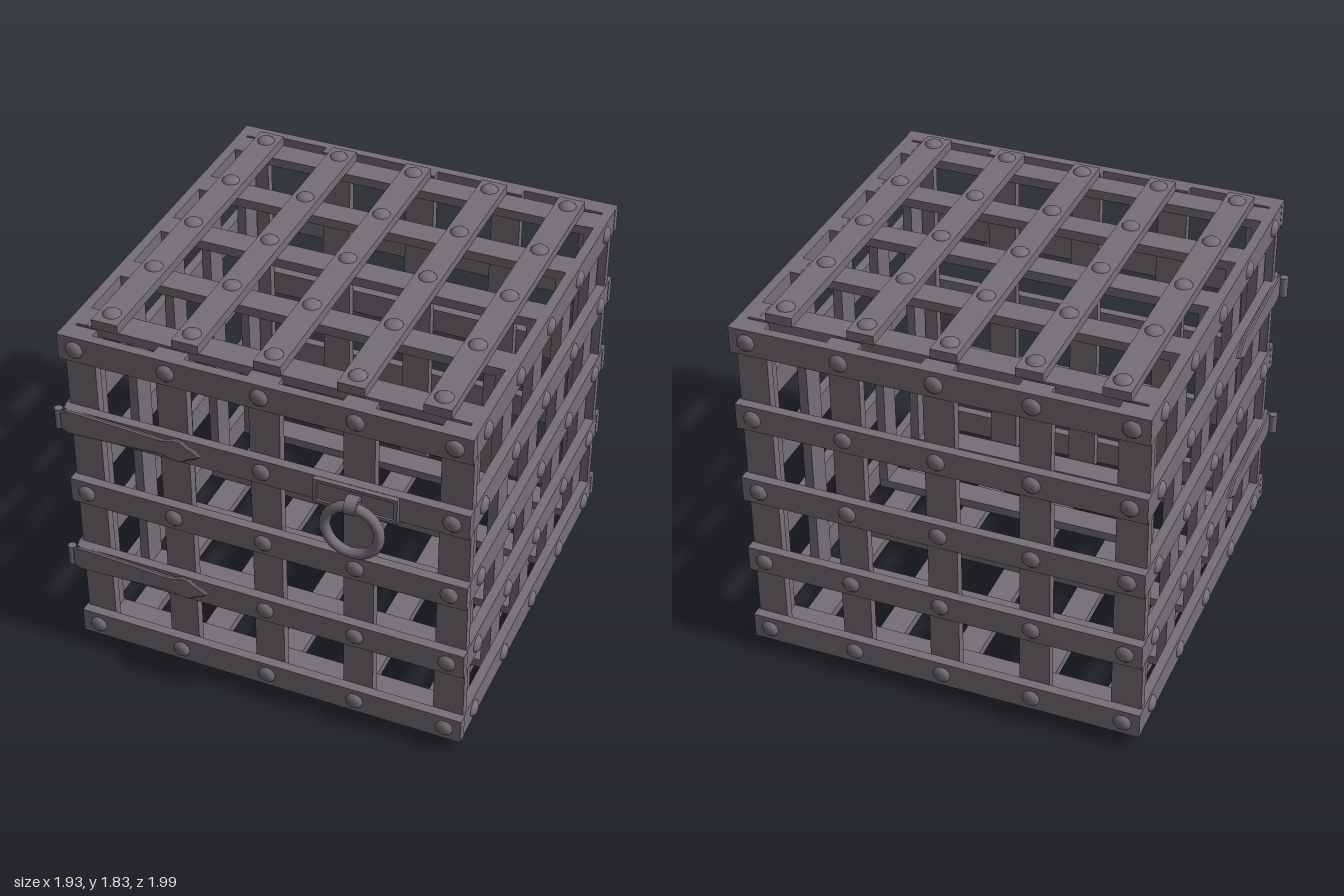
import * as THREE from 'three';

const T = 0.044;            // bar thickness
const CX = 0.012, CY = 0.92, CZ = -0.036; // cage centre

export function createModel() {
  const model = new THREE.Group();
  model.name = 'ironCage';
  const iron = new THREE.MeshStandardMaterial({ color: 0x766f76 });
  iron.name = 'dark iron';

  const add = (parent, name, geometry, x = 0, y = 0, z = 0) => {
    const mesh = new THREE.Mesh(geometry, iron);
    mesh.name = name;
    mesh.position.set(x, y, z);
    parent.add(mesh);
    return mesh;
  };

  // Domed rivet, its axis turned towards +z
  const rivetGeo = new THREE.LatheGeometry(
    [[0.041, -0.002], [0.041, 0.004], [0.029, 0.016], [0.015, 0.0195], [0, 0.02]].map(p => new THREE.Vector2(...p)), 12);
  rivetGeo.rotateX(Math.PI / 2);

  // Lattice wall: outer bars along local x, inner bars along local y, outer face at z = 0
  const steps = [-2, -1, 0, 1, 2];
  function wall(name, o) {
    const g = new THREE.Group();
    g.name = name;
    const outer = new THREE.BoxGeometry(o.outerLength, o.outerWidth, T);
    const inner = new THREE.BoxGeometry(o.innerWidth, o.innerLength, T);
    for (const i of steps) {
      add(g, 'outerBar', outer, 0, i * o.rowStep, -T / 2);
      add(g, 'innerBar', inner, i * o.columnStep, 0, -1.5 * T);
      for (const j of steps) {
        if (o.skip && o.skip(j, i)) continue;
        add(g, 'rivet', rivetGeo, j * o.columnStep, i * o.rowStep, 0);
      }
    }
    g.position.set(...o.position);
    g.rotation.set(...o.rotation);
    model.add(g);
  }

  const H = Math.PI / 2;
  const frontBack = { outerLength: 1.866, outerWidth: 0.125, innerLength: 1.685, innerWidth: 0.14, rowStep: 0.39, columnStep: 0.427 };
  const sides = { ...frontBack, outerLength: 1.889, innerWidth: 0.125, columnStep: 0.39 };
  const lids = { outerLength: 1.7, outerWidth: 0.122, innerLength: 1.78, innerWidth: 0.125, rowStep: 0.374, columnStep: 0.389 };

  const hingeRow = i => Math.abs(i) === 1;
  wall('frontWall', { ...frontBack, position: [CX, CY, 0.909], rotation: [0, 0, 0],
    skip: (j, i) => (hingeRow(i) && j < 0) || (i === 1 && j === 1) });
  wall('backWall', { ...frontBack, position: [CX, CY, -0.98], rotation: [0, Math.PI, 0] });
  wall('leftWall', { ...sides, position: [0.943, CY, CZ], rotation: [0, H, 0] });
  wall('rightWall', { ...sides, position: [-0.92, CY, CZ], rotation: [0, -H, 0],
    skip: (j, i) => hingeRow(i) && j > 0 });
  wall('topWall', { ...lids, position: [0.006, 1.805, CZ], rotation: [-H, 0, H] });
  wall('bottomWall', { ...lids, position: [0.006, 0.02, CZ], rotation: [H, 0, H] });

  // Hinge straps with a spear-shaped tip
  const half = [[0, 0.04], [0.03, 0.057], [0.1, 0.056], [0.3, 0.046], [0.46, 0.036], [0.5, 0.038],
    [0.54, 0.052], [0.575, 0.05], [0.605, 0.028], [0.63, 0.018]];
  const outline = [...half, [0.66, 0], ...half.slice().reverse().map(([x, y]) => [x, -y])];
  const strapGeo = new THREE.ExtrudeGeometry(new THREE.Shape(outline.map(p => new THREE.Vector2(...p))),
    { depth: 0.008, bevelEnabled: true, bevelThickness: 0.006, bevelSize: 0.006, bevelSegments: 1 });
  const pinGeo = new THREE.CylinderGeometry(0.02, 0.02, 0.1, 12);
  for (const i of [-1, 1]) {
    const y = CY + i * 0.39;
    add(model, 'frontHingeStrap', strapGeo, -0.932, y, 0.909);
    add(model, 'sideHingeStrap', strapGeo, -0.92, y, 0.9).rotation.set(0, -H, Math.PI);
    add(model, 'hingePin', pinGeo, -0.95, y, 0.902);
  }

  // Handle: framed plate, hook and pull ring
  const handle = new THREE.Group();
  handle.name = 'handle';
  handle.position.set(0.446, 1.308, 0.909);
  model.add(handle);
  add(handle, 'handlePlate', new THREE.BoxGeometry(0.37, 0.118, 0.012), 0, 0, 0.006);
  for (const s of [-1, 1]) {
    add(handle, 'plateRim', new THREE.BoxGeometry(0.378, 0.016, 0.022), 0, s * 0.055, 0.011);
    add(handle, 'plateRim', new THREE.BoxGeometry(0.016, 0.126, 0.022), s * 0.181, 0, 0.011);
  }
  const band = new THREE.Shape().absarc(0, 0, 0.043, 0, Math.PI * 2);
  band.holes.push(new THREE.Path().absarc(0, 0, 0.026, 0, Math.PI * 2, true));
  const hookGeo = new THREE.ExtrudeGeometry(band, { depth: 0.055, bevelEnabled: false, curveSegments: 10 });
  hookGeo.translate(0, 0, -0.0275).rotateY(H);
  add(handle, 'ringHook', hookGeo, 0, -0.006, 0.04);
  add(handle, 'pullRing', new THREE.TorusGeometry(0.123, 0.024, 12, 40), 0, -0.132, 0.05);

  return model;
}
